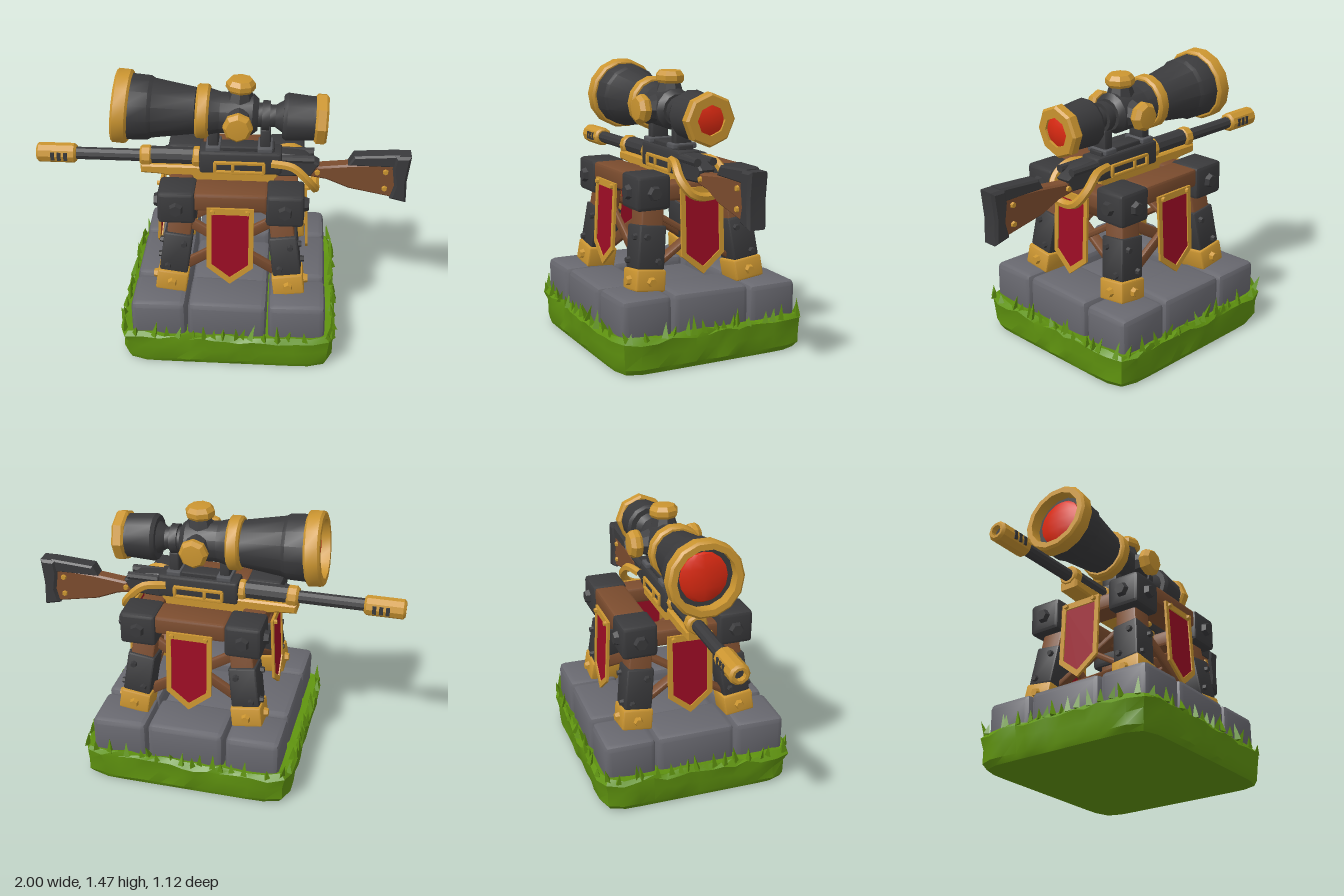
import * as THREE from 'three';
import { toCreasedNormals } from 'three/addons/utils/BufferGeometryUtils.js';
import { RoundedBoxGeometry } from 'three/addons/geometries/RoundedBoxGeometry.js';

const mat = (name, color, extra = {}) => {
  const m = new THREE.MeshStandardMaterial({ color, ...extra });
  m.name = name;
  return m;
};

export function createModel() {
  const root = new THREE.Group();
  root.name = 'mountedRifle';
  const dark = mat('darkIron', 0x3a3a3c), gold = mat('gold', 0xcb9530), wood = mat('wood', 0x7b4c2e);
  const stone = mat('stone', 0x68686f), grass = mat('grass', 0x5f930f), red = mat('cloth', 0x9c0c24, { side: THREE.DoubleSide });
  const lens = mat('lens', 0xdc2a12), steel = mat('steel', 0x55565a);
  const CX = 0.06;
  let seed = 7;
  const rnd = () => (seed = (seed * 16807) % 2147483647) / 2147483647;

  const add = (parent, name, geo, m, x = 0, y = 0, z = 0) => {
    const mesh = new THREE.Mesh(toCreasedNormals(geo, 0.5), m);
    mesh.name = name;
    mesh.position.set(x, y, z);
    parent.add(mesh);
    return mesh;
  };
  const block = (w, h, d, r = 0.015) => new RoundedBoxGeometry(w, h, d, 1, r);
  // lathe turned so its axis runs along x; points are [x, radius]
  const turned = (pts, n = 14) =>
    new THREE.LatheGeometry(pts.map(([x, r]) => new THREE.Vector2(r, x)), n).rotateZ(-Math.PI / 2);
  const rod = (x0, x1, r, n = 10) => turned([[x0, 0], [x0, r], [x1, r], [x1, 0]], n);
  const ring = (x0, x1, r, ri, n = 14) => {
    const b = 0.012;
    return turned([[x0, ri], [x0, r - b], [x0 + b, r], [x1 - b, r], [x1, r - b], [x1, ri], [x0, ri]], n);
  };
  const polygon = pts => new THREE.Shape(pts.map(p => new THREE.Vector2(...p)));
  const slab = (pts, depth, bevel = 0.01) => new THREE.ExtrudeGeometry(polygon(pts), {
    depth: depth - 2 * bevel, bevelEnabled: true, bevelSize: bevel, bevelThickness: bevel, bevelOffset: -bevel, bevelSegments: 1,
  }).translate(0, 0, bevel - depth / 2);
  // bar stretched between two points
  const bar = (parent, name, a, b, w, d, m) => {
    const A = new THREE.Vector3(...a), B = new THREE.Vector3(...b), dir = B.clone().sub(A);
    const mesh = add(parent, name, block(w, dir.length(), d, 0.01), m);
    mesh.position.copy(A).add(B).multiplyScalar(0.5);
    mesh.quaternion.setFromUnitVectors(new THREE.Vector3(0, 1, 0), dir.normalize());
    return mesh;
  };
  // hexagonal bolt head facing z or x
  const bolt = (parent, m, axis, s, x, y, z, r, h = 0.03) => {
    const g = new THREE.CylinderGeometry(r * 0.75, r, h, 6);
    if (axis === 'z') g.rotateX(s * Math.PI / 2); else g.rotateZ(-s * Math.PI / 2);
    add(parent, 'bolt', g, m, x, y, z);
  };

  // turf: stacked rounded-square rings with a little unevenness
  const N = 56, levels = [[0, 0.001], [0, 0.94], [0.03, 0.98], [0.1, 0.985], [0.165, 1], [0.19, 0.97], [0.175, 0.86], [0.17, 0.001]];
  const pos = [], idx = [];
  const edge = t => {
    const c = Math.cos(t), s = Math.sin(t), r = (Math.abs(c) ** 12 + Math.abs(s) ** 12) ** (-1 / 12);
    return [0.585 * c * r, 0.548 * s * r];
  };
  levels.forEach(([y, k], l) => {
    for (let i = 0; i < N; i++) {
      const [x, z] = edge(i / N * Math.PI * 2), j = l > 1 && l < 6 ? 1 - rnd() * 0.025 : 1;
      pos.push(CX + x * k * j, y + (l > 2 && l < 6 ? (rnd() - 0.5) * 0.025 : 0), z * k * j);
      if (l) {
        const a = (l - 1) * N + i, b = (l - 1) * N + (i + 1) % N;
        idx.push(a, a + N, b, b, a + N, b + N);
      }
    }
  });
  const turf = new THREE.BufferGeometry();
  turf.setAttribute('position', new THREE.Float32BufferAttribute(pos, 3));
  turf.setIndex(idx);
  add(root, 'turf', turf, grass);
  for (let i = 0; i < 64; i++) {
    const [x, z] = edge((i + rnd() * 0.7) / 64 * Math.PI * 2), h = 0.05 + rnd() * 0.05, k = 0.95 + rnd() * 0.03;
    const blade = add(root, 'grassBlade', new THREE.ConeGeometry(0.02, h, 3), grass, CX + x * k, 0.175 + h / 2, z * k);
    blade.rotation.set((rnd() - 0.4) * 0.5 * Math.sign(z), rnd() * 3, (rnd() - 0.5) * 0.6);
  }

  // ring of stone blocks around a lower middle slab
  const xs = [[-0.45, -0.16], [-0.15, 0.265], [0.275, 0.575]], zs = [[-0.5, -0.225], [-0.215, 0.215], [0.225, 0.5]];
  xs.forEach(([x0, x1], i) => zs.forEach(([z0, z1], k) => {
    const mid = i === 1 && k === 1, h = mid ? 0.2 : 0.24 + rnd() * 0.01;
    const s = add(root, 'stoneBlock', block(x1 - x0, h, z1 - z0, 0.03), stone, (x0 + x1) / 2, 0.125 + h / 2, (z0 + z1) / 2);
    s.rotation.set((rnd() - 0.5) * 0.02, (rnd() - 0.5) * 0.03, (rnd() - 0.5) * 0.03);
  }));

  // four splayed legs with feet, armour plates and corner heads
  for (const sx of [-1, 1]) for (const sz of [-1, 1]) {
    const leg = new THREE.Group();
    leg.name = 'leg';
    root.add(leg);
    const at = y => {
      const t = (y - 0.37) / 0.45;
      return [CX + 0.005 + sx * (0.315 - 0.06 * t), y, sz * (0.292 - 0.055 * t)];
    };
    bar(leg, 'legPost', at(0.37), at(0.84), 0.125, 0.125, wood);
    bar(leg, 'foot', at(0.36), at(0.47), 0.165, 0.165, gold);
    bar(leg, 'legPlate', at(0.47), at(0.69), 0.15, 0.15, dark);
    for (const [y, r, o, m] of [[0.42, 0.028, 0.09, gold], [0.515, 0.02, 0.08, dark], [0.645, 0.02, 0.08, dark]]) {
      const [x, , z] = at(y), q = y > 0.5 ? (y > 0.6 ? 0.035 : -0.035) : 0;
      bolt(leg, m, 'z', sz, x + q, y, z + sz * o, r);
      bolt(leg, m, 'x', sx, x + sx * o, y, z + q, r);
    }
    const hx = CX + 0.005 + sx * 0.28, hz = sz * 0.262;
    add(leg, 'cornerHead', block(0.195, 0.18, 0.19, 0.02), dark, hx, 0.87, hz);
    bolt(leg, dark, 'z', sz, hx, 0.87, hz + sz * 0.105, 0.042);
    bolt(leg, dark, 'x', sx, hx + sx * 0.108, 0.87, hz, 0.042);
  }

  // top beams and crossed braces
  for (const s of [-1, 1]) {
    add(root, 'longBeam', block(0.38, 0.1, 0.17), wood, CX + 0.005, 0.905, s * 0.262);
    add(root, 'shortBeam', block(0.13, 0.09, 0.36), wood, CX + 0.005 + s * 0.28, 0.86, 0);
    for (const q of [-1, 1]) {
      bar(root, 'brace', [CX - q * 0.26, 0.76, s * (0.235 + q * 0.012)], [CX + q * 0.28, 0.44, s * (0.265 + q * 0.012)], 0.06, 0.03, wood);
      bar(root, 'brace', [CX + s * (0.25 + q * 0.012), 0.76, -q * 0.23], [CX + s * (0.29 + q * 0.012), 0.46, q * 0.25], 0.06, 0.03, wood);
    }
  }

  // pointed banners on all four sides
  const pennant = (w, top, low, tip) => [[-w, top], [-w, low], [0, tip], [w, low], [w, top]];
  for (let i = 0; i < 4; i++) {
    const g = new THREE.Group(), a = i * Math.PI / 2, off = i % 2 ? 0.385 : 0.357;
    g.name = 'banner';
    g.position.set(CX + 0.005 + Math.sin(a) * off, 0.885, Math.cos(a) * off);
    g.rotation.set(-0.05, a, 0, 'YXZ');
    root.add(g);
    const frame = polygon(pennant(0.122, 0, -0.35, -0.45));
    frame.holes.push(new THREE.Path(pennant(0.096, -0.035, -0.335, -0.412).map(p => new THREE.Vector2(...p))));
    add(g, 'bannerTrim', new THREE.ExtrudeGeometry(frame, { depth: 0.014, bevelEnabled: false }).translate(0, 0, -0.007), gold);
    add(g, 'bannerCloth', new THREE.ShapeGeometry(polygon(pennant(0.1, -0.03, -0.335, -0.415))), red);
    for (const s of [-1, 1]) bolt(g, gold, 'z', 1, s * 0.09, -0.018, 0.012, 0.016, 0.02);
  }

  // barrel and slotted muzzle
  const gun = new THREE.Group();
  gun.name = 'rifle';
  root.add(gun);
  const Y = 0.985;
  add(gun, 'muzzle', ring(-1, -0.785, 0.054, 0.028, 10), gold, 0, Y);
  for (const s of [-1, 1]) for (const x of [-0.91, -0.875, -0.84])
    add(gun, 'muzzleSlot', new THREE.BoxGeometry(0.02, 0.045, 0.008), dark, x, Y, s * 0.0505);
  add(gun, 'barrel', rod(-0.97, -0.38, 0.034), dark, 0, Y);
  add(gun, 'barrelCollar', ring(-0.44, -0.375, 0.058, 0.03, 10), gold, 0, Y);
  add(gun, 'barrelSleeve', rod(-0.38, -0.1, 0.048), dark, 0, Y + 0.005);
  add(gun, 'sleeveRing', ring(-0.16, -0.11, 0.058, 0.03, 10), gold, 0, Y);
  add(gun, 'foreEnd', slab([[-0.435, 0.955], [-0.435, 0.905], [-0.34, 0.9], [-0.1, 0.86], [0.3, 0.86], [0.3, 0.955]], 0.11), gold);

  // receiver with framed side panels, rail and bolt
  add(gun, 'receiver', block(0.44, 0.13, 0.13), dark, 0.1, 0.985);
  add(gun, 'rail', block(0.36, 0.03, 0.09, 0.008), dark, 0.1, 1.06);
  add(gun, 'receiverTail', slab([[0.3, 0.9], [0.3, 1.04], [0.44, 1.03], [0.52, 0.98], [0.48, 0.91]], 0.085), dark);
  for (const s of [-1, 1]) {
    for (const y of [0.935, 0.99]) add(gun, 'panelTrim', block(0.27, 0.018, 0.02, 0.005), gold, 0.095, y, s * 0.068);
    for (const x of [-0.035, 0.06, 0.225]) add(gun, 'panelTrim', block(0.018, 0.06, 0.02, 0.005), gold, x, 0.962, s * 0.068);
    add(gun, 'boltHandle', rod(0.32, 0.49, 0.022, 8), dark, 0, 1.015, s * 0.045);
  }
  // curved cradle under the rifle's rear
  const cradle = new THREE.CatmullRomCurve3([[0.27, 1.0, 0.08], [0.38, 1.0, 0.115], [0.46, 0.93, 0.125], [0.5, 0.86, 0.08],
    [0.5, 0.84, 0], [0.5, 0.86, -0.08], [0.46, 0.93, -0.125], [0.38, 1.0, -0.115], [0.27, 1.0, -0.08]].map(p => new THREE.Vector3(...p)));
  add(gun, 'cradle', new THREE.TubeGeometry(cradle, 28, 0.024, 6), gold);

  // shoulder stock
  add(gun, 'stock', slab([[0.44, 0.99], [0.44, 0.91], [0.56, 0.89], [0.68, 0.84], [0.93, 0.79], [0.93, 1.0], [0.7, 0.985], [0.52, 0.965]], 0.075), wood);
  add(gun, 'cheekRest', slab([[0.67, 0.98], [0.7, 1.035], [0.94, 1.05], [0.94, 0.975]], 0.085), dark);
  add(gun, 'buttPad', slab([[0.915, 1.045], [0.905, 0.97], [0.92, 0.87], [0.9, 0.79], [0.99, 0.768], [0.985, 0.9], [1, 1.045]], 0.105, 0.014), dark);
  for (const s of [-1, 1]) for (const [x, y] of [[0.87, 0.95], [0.87, 0.85], [0.51, 0.935]])
    bolt(gun, gold, 'z', s, x, y, s * 0.04, 0.018, 0.02);

  // scope, tilted slightly
  const scope = new THREE.Group();
  scope.name = 'scope';
  scope.position.y = 1.255;
  scope.rotation.z = -0.042;
  root.add(scope);
  const rim = add(scope, 'frontRim', ring(-0.04, 0.045, 0.198, 0.155), gold, -0.525);
  rim.rotation.z = -0.05;
  add(scope, 'bell', turned([[-0.5, 0], [-0.5, 0.178], [-0.38, 0.172], [-0.36, 0.16], [-0.14, 0.125], [-0.14, 0]]), dark);
  add(scope, 'frontLens', new THREE.SphereGeometry(0.13, 10, 8).scale(0.25, 1, 1), lens, -0.505);
  add(scope, 'bellRing', ring(-0.135, -0.065, 0.146, 0.08), gold);
  add(scope, 'body', turned([[-0.08, 0], [-0.08, 0.128], [-0.01, 0.11], [0.16, 0.11], [0.19, 0.085], [0.19, 0]]), dark);
  add(scope, 'neck', turned([[0.18, 0], [0.18, 0.065], [0.21, 0.065], [0.21, 0.08], [0.25, 0.08], [0.25, 0.06], [0.28, 0.06], [0.34, 0.1], [0.34, 0]]), dark);
  add(scope, 'eyepiece', turned([[0.32, 0], [0.32, 0.115], [0.34, 0.128], [0.47, 0.118], [0.5, 0.118], [0.5, 0]]), dark);
  add(scope, 'rearRim', ring(0.485, 0.55, 0.138, 0.078, 8), gold);
  add(scope, 'rearLens', new THREE.SphereGeometry(0.085, 6, 6).scale(0.35, 1, 1), lens, 0.525);

  // adjustment knobs on top and both sides
  for (const a of [-1, 0, 1]) {
    const g = new THREE.Group();
    g.name = 'knob';
    g.position.x = 0.09;
    g.rotation.x = a * Math.PI / 2;
    scope.add(g);
    add(g, 'knobBase', new THREE.CylinderGeometry(0.055, 0.075, 0.06, 8), dark, 0, 0.115);
    add(g, 'knobCap', new THREE.LatheGeometry([[0, 0.135], [0.068, 0.135], [0.078, 0.15], [0.078, 0.175], [0.06, 0.198], [0, 0.204]]
      .map(p => new THREE.Vector2(...p)), 8), gold);
  }

  // scope mounts
  for (const x of [-0.045, 0.23]) {
    add(root, 'scopeMount', block(0.055, 0.13, 0.1, 0.01), dark, x, 1.12);
    add(root, 'mountFoot', block(0.08, 0.03, 0.14, 0.008), steel, x, 1.068);
  }
  return root;
}
